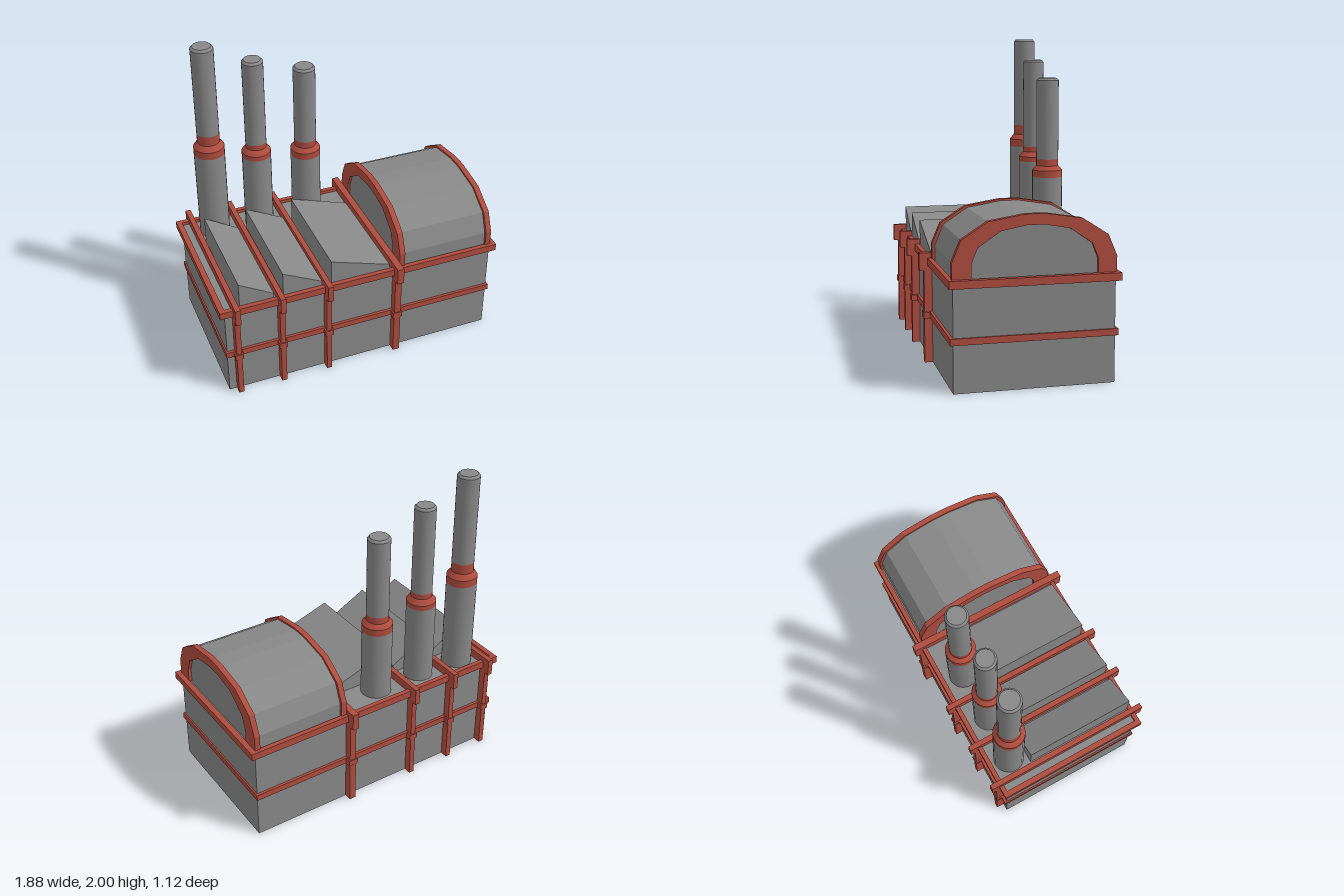
import * as THREE from 'three';

const grey = new THREE.MeshStandardMaterial({ color: 0x888888 });
const greyOpen = new THREE.MeshStandardMaterial({ color: 0x888888, side: THREE.DoubleSide });
const red = new THREE.MeshStandardMaterial({ color: 0xaf4c3f });

function add(parent, name, geometry, material) {
  const mesh = new THREE.Mesh(geometry, material);
  mesh.name = name;
  parent.add(mesh);
  return mesh;
}

// Box given by its limits on each axis
function box(parent, name, [x0, x1], [y0, y1], [z0, z1], material) {
  const mesh = add(parent, name, new THREE.BoxGeometry(x1 - x0, y1 - y0, z1 - z0), material);
  mesh.position.set((x0 + x1) / 2, (y0 + y1) / 2, (z0 + z1) / 2);
}

// Rectangular ring lying flat around the building
function ring(parent, name, X, Z, tx, tz, y0, y1) {
  const group = new THREE.Group();
  group.name = name;
  parent.add(group);
  for (const s of [-1, 1]) {
    const zs = [s * Z, s * (Z - tz)].sort((a, b) => a - b);
    const xs = [s * X, s * (X - tx)].sort((a, b) => a - b);
    box(group, name + 'Long', [-X, X], [y0, y1], zs, red);
    box(group, name + 'Short', xs, [y0, y1], [-Z + tz, Z - tz], red);
  }
}

// Extrude a shape drawn in (z, y) along x from x0 to x1
function extrudeAlongX(shape, x0, x1) {
  const geometry = new THREE.ExtrudeGeometry(shape, { depth: x1 - x0, bevelEnabled: false });
  geometry.rotateY(Math.PI / 2);
  return geometry.translate(x0, 0, 0);
}

// Mirror half an arch into a full outline
function arch(half) {
  const other = half.slice().reverse().map(([z, y]) => [-z, y]);
  return [...half, ...other].map(([z, y]) => new THREE.Vector2(z, y));
}

function chimney(parent, { x, z, r, r2, y1, y2, y3, y4, top }) {
  const group = new THREE.Group();
  group.name = 'chimney';
  group.position.set(x, 0, z);
  parent.add(group);
  const piece = (name, a, b, ra, rb, material) => {
    const mesh = add(group, name, new THREE.CylinderGeometry(rb, ra, b - a, 24), material);
    mesh.position.y = (a + b) / 2;
  };
  piece('chimneyBase', 0.64, y1, r, r, grey);
  piece('collar', y1, y2, r, r, red);
  piece('collarTaper', y2, y3, r, r2, red);
  piece('collarNeck', y3, y4, r2, r2, red);
  piece('chimneyShaft', y4, top - 0.015, r2, r2, grey);
  piece('chimneyCap', top - 0.015, top, r2, r2 - 0.013, grey);
}

export function createModel() {
  const model = new THREE.Group();
  model.name = 'factory';

  // Hall: open at the bottom, so the -y face is left out
  const hall = new THREE.BoxGeometry(1.81, 0.64, 0.964);
  hall.setIndex([...hall.index.array].filter((_, i) => i < 18 || i >= 24));
  hall.clearGroups();
  add(model, 'hall', hall, greyOpen).position.y = 0.32;

  // Bands around the hall
  ring(model, 'middleBand', 0.915, 0.5, 0.03, 0.03, 0.285, 0.325);
  ring(model, 'roofRim', 0.94, 0.51, 0.036, 0.03, 0.615, 0.662);

  // Frames: a post on each side, clamps, and a beam over the roof
  for (const [x, w] of [[-0.84, 0.034], [-0.55, 0.034], [-0.24, 0.034], [0.234, 0.044]]) {
    const frame = new THREE.Group();
    frame.name = 'frame';
    model.add(frame);
    const wide = (extra) => [x - w / 2 - extra, x + w / 2 + extra];
    box(frame, 'roofBeam', wide(0), [0.62, 0.695], [-0.49, 0.49], red);
    for (const s of [-1, 1]) {
      const span = (a, b) => (s > 0 ? [a, b] : [-b, -a]);
      box(frame, 'post', wide(0), [0, 0.64], span(0.472, 0.532), red);
      box(frame, 'beamEnd', wide(0), [0.583, 0.695], span(0.49, 0.562), red);
      box(frame, 'bandClamp', wide(0.01), [0.284, 0.322], span(0.472, 0.538), red);
    }
  }

  // Slanted roof sheds
  for (const [x0, x1] of [[-0.806, -0.584], [-0.524, -0.268], [-0.206, 0.19]]) {
    const side = new THREE.Shape([[x0, 0.63], [x1, 0.63], [x1, 0.692], [x0, 0.825]]
      .map(([x, y]) => new THREE.Vector2(x, y)));
    const shed = new THREE.ExtrudeGeometry(side, { depth: 0.731, bevelEnabled: false });
    add(model, 'roofShed', shed.translate(0, 0, -0.251), grey);
  }

  // Barrel vault with an arched frame at each end
  const outer = [[0.488, 0.65], [0.488, 0.757], [0.434, 0.885], [0.277, 0.985], [0.058, 1.02]];
  const inner = [[0.375, 0.65], [0.375, 0.745], [0.338, 0.837], [0.203, 0.928], [0.054, 0.956]];
  const shell = outer.map(([z, y]) => [z * 0.965, y - 0.011]);
  add(model, 'vault', extrudeAlongX(new THREE.Shape(arch(shell)), 0.272, 0.886), grey);
  const archShape = new THREE.Shape([...arch(outer), ...arch(inner).reverse()]);
  for (const [x0, x1] of [[0.256, 0.293], [0.87, 0.906]]) {
    add(model, 'vaultArch', extrudeAlongX(archShape, x0, x1), red);
  }

  // Chimneys, from tallest to shortest
  chimney(model, { x: -0.71, z: -0.362, r: 0.099, r2: 0.072, y1: 1.25, y2: 1.3, y3: 1.335, y4: 1.4, top: 2 });
  chimney(model, { x: -0.403, z: -0.344, r: 0.095, r2: 0.068, y1: 1.175, y2: 1.207, y3: 1.24, y4: 1.275, top: 1.862 });
  chimney(model, { x: -0.064, z: -0.347, r: 0.098, r2: 0.072, y1: 1.107, y2: 1.152, y3: 1.18, y4: 1.223, top: 1.75 });

  return model;
}
